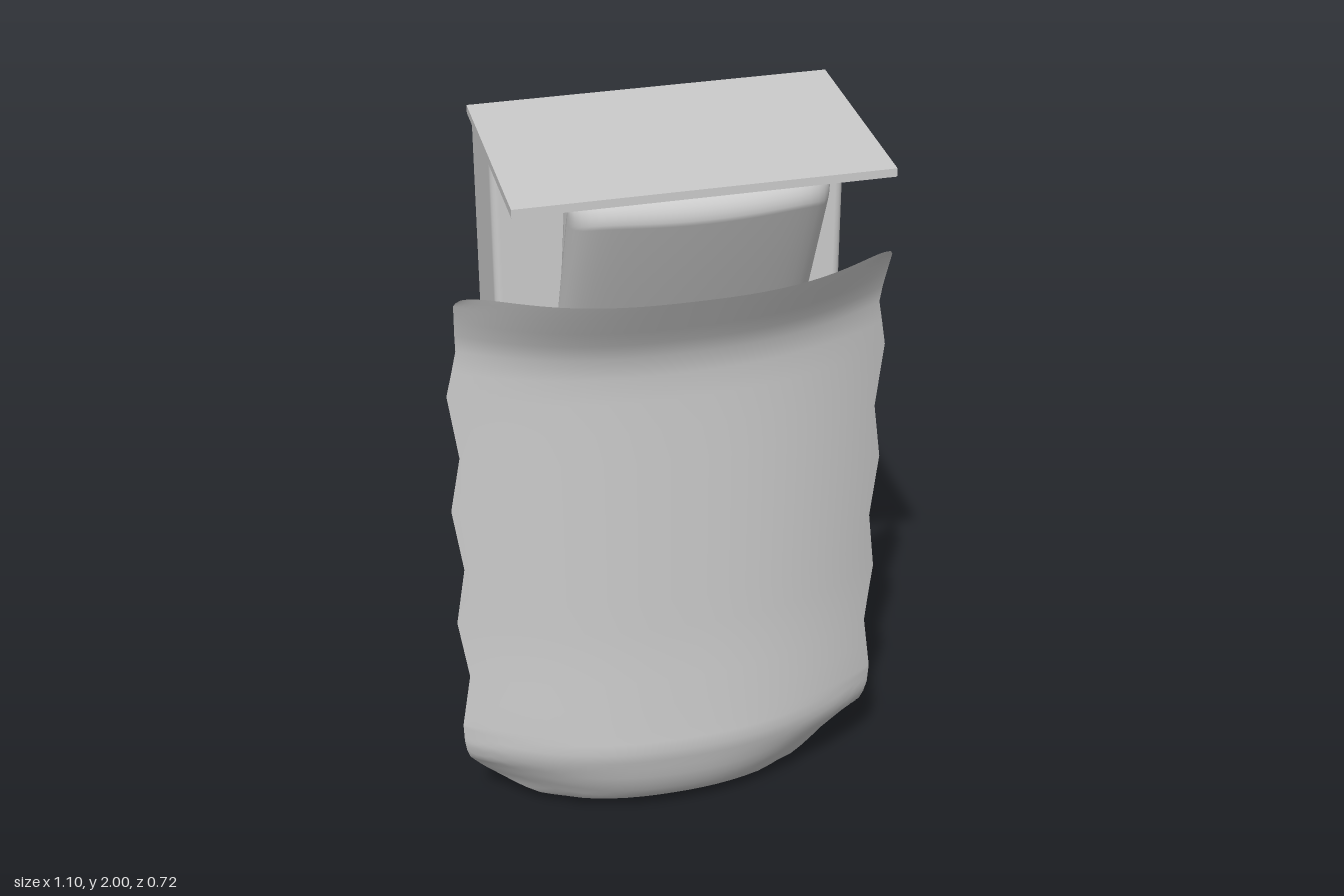
import * as THREE from 'three';
import { RoundedBoxGeometry } from 'three/addons/geometries/RoundedBoxGeometry.js';

const CX = -0.01; // the hard parts sit slightly off the pouch's centre line

// Piecewise-linear lookup in [key, value] pairs with rising keys
function lookup(table, k) {
  for (let i = 1; i < table.length; i++) {
    const [a, va] = table[i - 1], [b, vb] = table[i];
    if (k <= b) return va + (vb - va) * Math.max(0, (k - a) / (b - a));
  }
  return table[table.length - 1][1];
}

function indexed(pos, index) {
  const g = new THREE.BufferGeometry();
  g.setAttribute('position', new THREE.Float32BufferAttribute(pos, 3));
  g.setIndex(index);
  g.computeVertexNormals();
  return g;
}

// Bowed sheet: curled bottom, scalloped sides, flared lip
function pouchGeometry() {
  const curve = 0.34;
  const centreZ = [[0, -0.05], [0.05, 0.02], [0.1, 0.053], [0.15, 0.08], [0.27, 0.114], [0.36, 0.109], [0.6, 0.1], [1.3, 0.104], [1.42, 0.107], [1.48, 0.123], [1.66, 0.235]];
  const sideDrop = [[0, 0.26], [0.1, 0.26], [0.155, 0.222], [0.22, 0.165], [curve, 0.147], [1.4, 0.14], [1.66, 0.2]];
  const halfWidth = [[0.34, 0.55], [0.5, 0.527], [0.66, 0.55], [0.83, 0.527], [1, 0.55], [1.16, 0.525], [1.33, 0.547], [1.46, 0.522], [1.63, 0.53], [1.66, 0.515]];
  const rows = [];
  for (let i = 0; i <= 10; i++) rows.push({ y: curve, s: 1 - i / 10 });
  for (const y of [0.42, 0.5, 0.58, 0.66, 0.745, 0.83, 0.915, 1, 1.08, 1.16, 1.245, 1.33, 1.4, 1.46, 1.51, 1.56, 1.61, 1.64, 1.66]) rows.push({ y, s: 0 });
  const N = 40, pos = [], index = [];
  rows.forEach(({ y: rowY, s }, r) => {
    const bow = 2.35 + 0.25 * THREE.MathUtils.smoothstep(rowY, 1.4, 1.66);
    for (let c = 0; c <= N; c++) {
      const u = Math.sin((c / N - 0.5) * Math.PI), a = Math.min(1, Math.abs(u));
      const bottom = curve * (1 - Math.pow(1 - Math.pow(a, 2.5), 0.375));
      const y = rowY - s * (curve - bottom);
      const x = u * (0.535 + (lookup(halfWidth, rowY) - 0.535) * Math.pow(a, 4));
      const lipSag = 0.02 * Math.pow(a, 12) * THREE.MathUtils.smoothstep(rowY, 1.6, 1.66);
      pos.push(x, y - lipSag, lookup(centreZ, y) - lookup(sideDrop, y) * Math.abs(x / 0.55) ** bow);
      if (r && c) {
        const p = r * (N + 1) + c, q = p - N - 1;
        index.push(q - 1, q, p, q - 1, p, p - 1);
      }
    }
  });
  return indexed(pos, index);
}

// Soft pad: thinner towards its lower end, ends bowed back, top corners drooping
function bundleGeometry(width, height, bow) {
  const slices = 24, n = 32, pos = [], index = [];
  for (let k = 0; k <= slices; k++) {
    const u = -Math.cos((k / slices) * Math.PI), a = Math.abs(u);
    const close = Math.sqrt(Math.max(0, 1 - a ** 10)); // closes the ends
    for (let i = 0; i < n; i++) {
      const t = (i / n) * Math.PI * 2, s = Math.sin(t);
      const y = Math.sign(s) * (height / 2 - 0.06) + 0.06 * s;
      const z = 0.06 * Math.cos(t) * (0.8 + 0.4 * (y / height));
      const droop = y > 0 ? 0.05 * a ** 8 : 0;
      pos.push((u * width) / 2, y - droop, z * close - bow * a * a);
      if (k) {
        const j = (i + 1) % n, p = k * n, q = p - n;
        index.push(q + i, p + j, q + j, q + i, p + i, p + j);
      }
    }
  }
  return indexed(pos, index);
}

export function createModel() {
  const root = new THREE.Group();
  const grey = new THREE.MeshStandardMaterial({ color: 0xcccccc });
  const flat = new THREE.MeshStandardMaterial({ color: 0xcccccc, flatShading: true });
  const sheet = new THREE.MeshStandardMaterial({ color: 0xcccccc, side: THREE.DoubleSide });
  const add = (name, geometry, material, x, y, z) => {
    const mesh = new THREE.Mesh(geometry, material);
    mesh.name = name;
    mesh.position.set(x, y, z);
    root.add(mesh);
    return mesh;
  };

  // Back box and the overhanging lid
  add('backBox', new RoundedBoxGeometry(0.835, 1.705, 0.25, 2, 0.02), grey, CX, 1.115, -0.107);
  add('lid', new THREE.BoxGeometry(0.86, 0.02, 0.555), flat, CX, 1.99, 0.0775);

  // Tapered mounting pegs on the back
  for (const side of [-1, 1]) {
    for (const y of [0.345, 1.88]) {
      const g = new THREE.CylinderGeometry(0.047, 0.0575, 0.125, 4);
      g.rotateY(Math.PI / 4).rotateX(-Math.PI / 2);
      g.scale(1, 0.93, 1);
      add('mountingPeg', g, flat, CX + side * 0.34, y, -0.2975);
    }
  }

  // Hanging pouch
  add('pouch', pouchGeometry(), sheet, 0, 0, 0);

  // Two padded bundles leaning out of the pouch
  add('frontBundle', bundleGeometry(0.6, 0.52, 0.03), sheet, 0.01, 1.715, 0.16).rotation.x = 0.42;
  add('rearBundle', bundleGeometry(0.57, 0.5, 0.01), sheet, 0.01, 1.735, 0.075).rotation.x = 0.27;

  return root;
}
